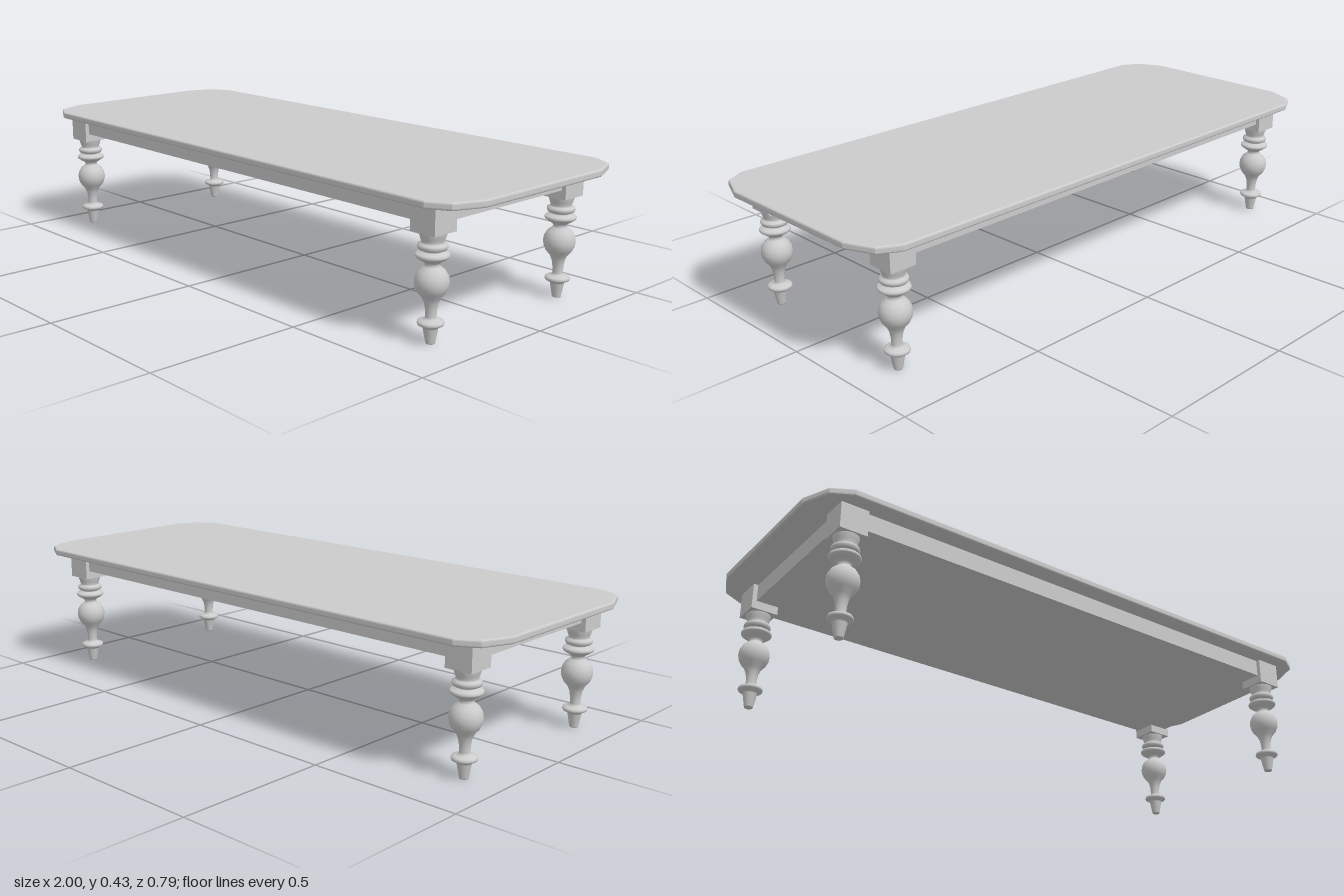
import * as THREE from 'three';

const material = new THREE.MeshStandardMaterial({ color: 0xcccccc });

function addMesh(parent, name, geometry, x = 0, y = 0, z = 0) {
  const mesh = new THREE.Mesh(geometry, material);
  mesh.name = name;
  mesh.position.set(x, y, z);
  parent.add(mesh);
  return mesh;
}

// Slab with chamfered corners and a softened edge
function tabletopGeometry() {
  const bevel = 0.006;
  const corner = [[1, 0.27], [0.963, 0.36], [0.9, 0.395]];
  const mirrored = (sx, sz) => corner.map(([x, z]) => new THREE.Vector2(sx * (x - bevel), sz * (z - bevel)));
  const outline = [
    ...mirrored(1, 1), ...mirrored(-1, 1).reverse(),
    ...mirrored(-1, -1), ...mirrored(1, -1).reverse(),
  ];
  const geometry = new THREE.ExtrudeGeometry(new THREE.Shape(outline), {
    depth: 0.023 - 2 * bevel, bevelThickness: bevel, bevelSize: bevel, bevelSegments: 3,
  });
  return geometry.rotateX(-Math.PI / 2).translate(0, 0.41 + bevel, 0);
}

// Turned leg profile: radius, height
const legProfile = [
  [0, 0], [0.013, 0], [0.014, 0.003], [0.022, 0.045], [0.024, 0.049], // tapered foot
  [0.037, 0.056], [0.039, 0.061], [0.037, 0.067], [0.028, 0.07],      // lower ring
  [0.018, 0.073], [0.016, 0.08], [0.017, 0.1], [0.02, 0.118],         // ankle
  [0.027, 0.135], [0.04, 0.15], [0.047, 0.165], [0.0495, 0.18],       // bulb
  [0.047, 0.197], [0.038, 0.213], [0.024, 0.224],
  [0.02, 0.23], [0.024, 0.237], [0.036, 0.244],                       // collar
  [0.047, 0.252], [0.049, 0.257], [0.046, 0.263], [0.028, 0.267],     // middle ring
  [0.028, 0.271], [0.039, 0.274], [0.043, 0.281],                     // upper ring
  [0.042, 0.288], [0.034, 0.292],
  [0.032, 0.296], [0.035, 0.305], [0.039, 0.318], [0.04, 0.326],      // flared top
].map(([r, y]) => new THREE.Vector2(r, y));

export function createModel() {
  const table = new THREE.Group();
  table.name = 'table';

  addMesh(table, 'tabletop', tabletopGeometry());

  // The base sits slightly off the middle of the top
  const base = new THREE.Group();
  base.name = 'base';
  base.position.set(-0.01, 0, 0.008);
  table.add(base);

  addMesh(base, 'apron', new THREE.BoxGeometry(1.78, 0.059, 0.65), 0, 0.3815, 0);

  const legGeometry = new THREE.LatheGeometry(legProfile, 32);
  const blockGeometry = new THREE.BoxGeometry(0.09, 0.088, 0.09);
  for (const [side, x] of [['Left', 0.86], ['Right', -0.86]]) {
    for (const [end, z] of [['front', 0.294], ['back', -0.294]]) {
      const leg = new THREE.Group();
      leg.name = `${end}${side}Leg`;
      leg.position.set(x, 0, z);
      addMesh(leg, 'turnedLeg', legGeometry);
      addMesh(leg, 'legBlock', blockGeometry, 0, 0.368, 0);
      base.add(leg);
    }
  }
  return table;
}
